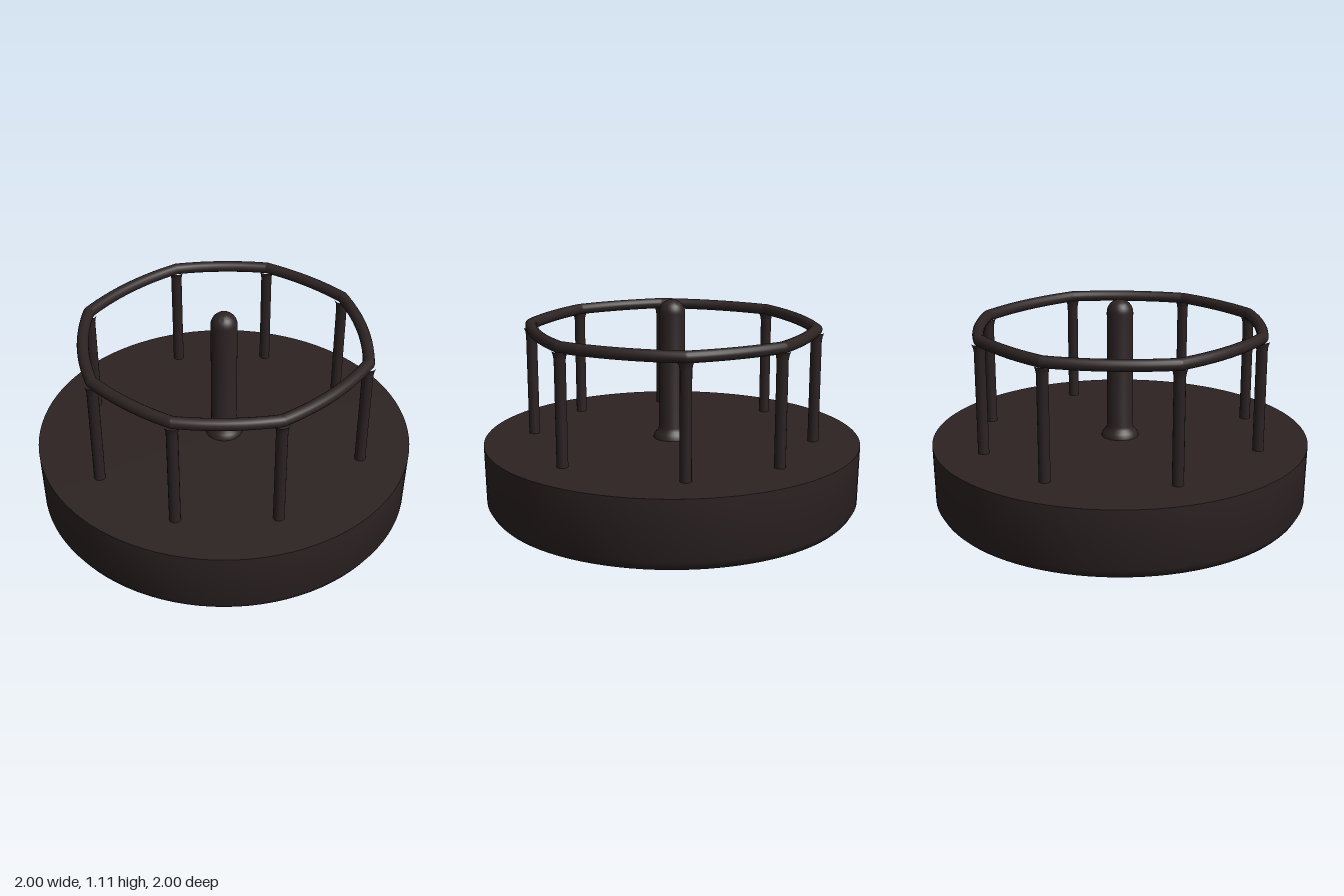
import * as THREE from 'three';
import { toCreasedNormals } from 'three/addons/utils/BufferGeometryUtils.js';

export function createModel() {
  const model = new THREE.Group();
  model.name = 'playgroundRoundabout';
  const darkMetal = new THREE.MeshStandardMaterial({ color: 0x2d2323 });
  darkMetal.name = 'darkMetal';

  const add = (name, geometry, parent = model) => {
    const mesh = new THREE.Mesh(geometry, darkMetal);
    mesh.name = name;
    parent.add(mesh);
    return mesh;
  };
  const lathe = (points, sides) => toCreasedNormals(
    new THREE.LatheGeometry(points.map(([r, y]) => new THREE.Vector2(r, y)), sides), 0.6);

  // Round platform with a bevelled lower rim
  add('platform', lathe([[0, 0], [0.96, 0], [0.975, 0.015], [0.995, 0.05], [1, 0.36], [0, 0.36]], 96));

  // Central column: flared collar, straight shaft, domed top
  const column = [[0.1, 0.355], [0.098, 0.37], [0.088, 0.388], [0.074, 0.402], [0.069, 0.42]];
  for (let i = 0; i <= 10; i++) {
    const a = (i / 10) * Math.PI / 2;
    column.push([i === 10 ? 0 : 0.069 * Math.cos(a), 1.036 + 0.069 * Math.sin(a)]);
  }
  add('centreColumn', lathe(column, 32));

  // Eight posts, listed in order around the platform
  const railY = 0.96;
  const corners = [
    [0.755, 0], [0.48, 0.58], [0, 0.755], [-0.48, 0.58],
    [-0.755, 0], [-0.48, -0.58], [0, -0.755], [0.48, -0.58],
  ].map(([x, z]) => new THREE.Vector3(x, railY, z));

  const posts = new THREE.Group();
  posts.name = 'posts';
  const rail = new THREE.Group();
  rail.name = 'handRail';
  model.add(posts, rail);

  const postGeometry = lathe([[0.029, 0.35], [0.029, 0.9], [0.033, 0.922], [0.04, 0.942]], 16);
  const jointGeometry = new THREE.SphereGeometry(0.03, 16, 12);

  corners.forEach((corner, i) => {
    add('post', postGeometry, posts).position.set(corner.x, 0, corner.z);
    add('railJoint', jointGeometry, rail).position.copy(corner);

    // Rail section bowed gently outward between neighbouring posts
    const next = corners[(i + 1) % corners.length];
    const middle = corner.clone().add(next).multiplyScalar(0.5);
    const outward = new THREE.Vector3(middle.x, 0, middle.z).normalize();
    const bow = corner.distanceTo(next) > 0.6 ? 0.075 : 0.045;
    middle.addScaledVector(outward, bow);
    const curve = new THREE.QuadraticBezierCurve3(corner, middle, next);
    add('railSection', new THREE.TubeGeometry(curve, 14, 0.03, 16), rail);
  });

  return model;
}
